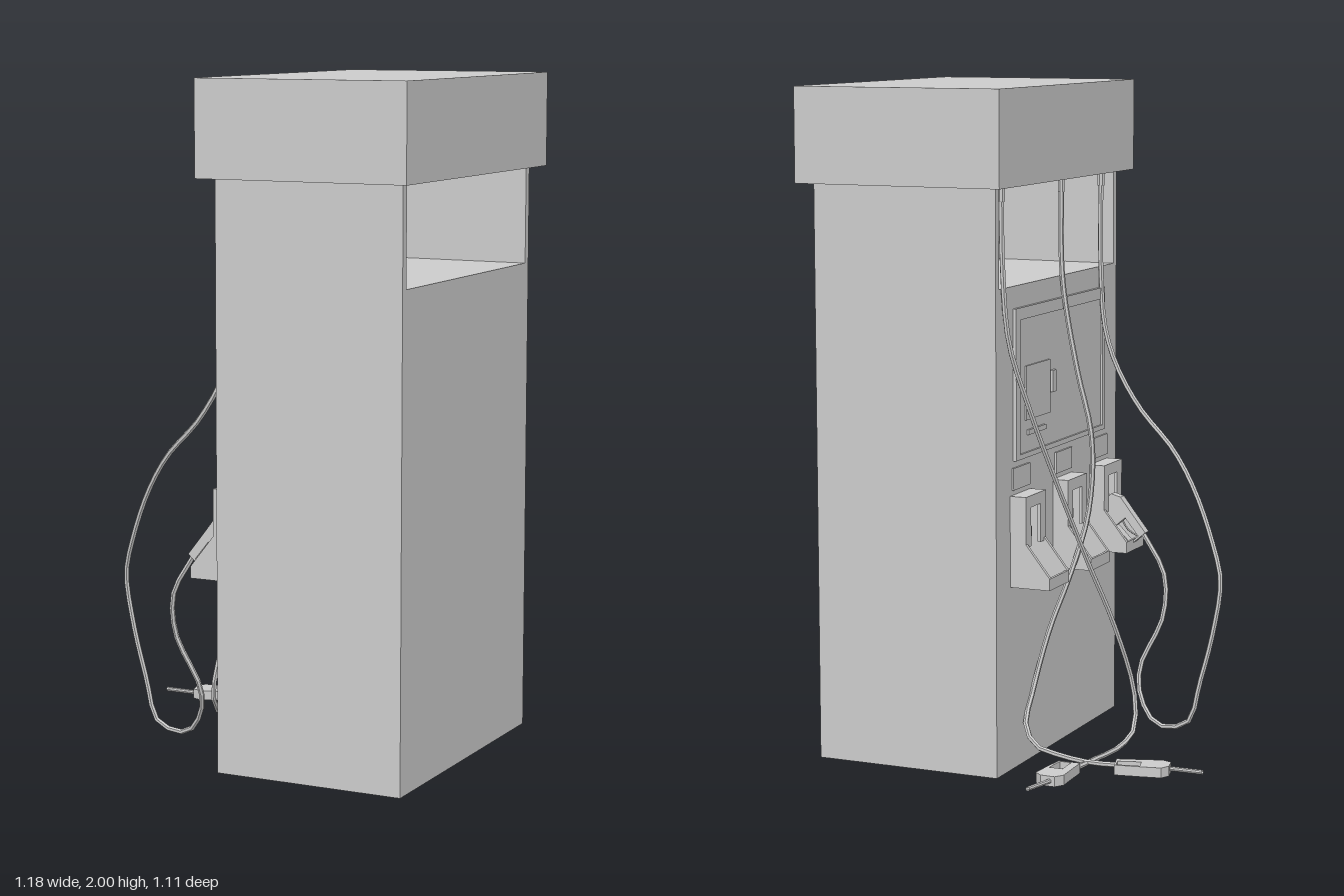
import * as THREE from 'three';

const mat = new THREE.MeshStandardMaterial({ color: 0xcccccc, flatShading: true, side: THREE.DoubleSide });
const V = (x, y, z) => new THREE.Vector3(x, y, z);

function add(parent, name, geo) {
  const m = new THREE.Mesh(geo, mat);
  m.name = name;
  parent.add(m);
  return m;
}

// Box given by its min and max along each axis
function box(parent, name, x0, x1, y0, y1, z0, z1) {
  const m = add(parent, name, new THREE.BoxGeometry(x1 - x0, y1 - y0, z1 - z0));
  m.position.set((x0 + x1) / 2, (y0 + y1) / 2, (z0 + z1) / 2);
  return m;
}

function polygon(points) {
  return new THREE.Shape(points.map(([x, y]) => new THREE.Vector2(x, y)));
}

function hose(parent, name, points) {
  const curve = new THREE.CatmullRomCurve3(points.map(p => V(...p)), false, 'centripetal');
  add(parent, name, new THREE.TubeGeometry(curve, points.length * 3, 0.008, 6));
  const [x, y, z] = points[0];
  const collar = add(parent, name + 'Collar', new THREE.CylinderGeometry(0.011, 0.011, 0.04, 8));
  collar.position.set(x, y - 0.02, z);
}

// Nozzle: local x runs from the hose to the spout, local y towards the trigger guard
function nozzle(parent, name, pos, u, v) {
  const g = new THREE.Group();
  g.name = name;
  const outline = polygon([[0, -0.012], [0.08, -0.015], [0.135, -0.018], [0.162, 0],
    [0.16, 0.045], [0.14, 0.068], [0.08, 0.064], [0, 0.056]]);
  outline.holes.push(polygon([[0.006, 0.014], [0.006, 0.049], [0.076, 0.054], [0.076, 0.012]]));
  const geo = new THREE.ExtrudeGeometry(outline, { depth: 0.03, bevelEnabled: false });
  geo.translate(0, 0, -0.015);
  add(g, 'nozzleBody', geo);
  // Bent trigger inside the guard
  const trigger = new THREE.CatmullRomCurve3([V(0.076, 0.03, 0), V(0.045, 0.034, 0), V(0.012, 0.022, 0)]);
  add(g, 'trigger', new THREE.TubeGeometry(trigger, 4, 0.003, 5));
  const spout = new THREE.LineCurve3(V(0.15, 0.014, 0), V(0.258, 0.042, 0));
  add(g, 'spout', new THREE.TubeGeometry(spout, 1, 0.007, 8));
  const U = V(...u).normalize(), W = V(...u).cross(V(...v)).normalize();
  g.quaternion.setFromRotationMatrix(new THREE.Matrix4().makeBasis(U, W.clone().cross(U), W));
  g.position.set(...pos);
  parent.add(g);
}

function holder(parent, z) {
  const g = new THREE.Group();
  g.name = 'nozzleHolder';
  g.position.z = z;
  const cheek = polygon([[-0.03, 0.55], [-0.155, 0.55], [-0.155, 0.585], [-0.08, 0.68],
    [-0.08, 0.82], [-0.03, 0.82]]);
  for (const s of [-1, 1]) {
    const geo = new THREE.ExtrudeGeometry(cheek, { depth: 0.012, bevelEnabled: false });
    geo.translate(0, 0, s * 0.066 - 0.006);
    add(g, 'holderCheek', geo);
    box(g, 'holderPost', -0.08, -0.07, 0.67, 0.82, s * 0.05 - 0.016, s * 0.05 + 0.016);
  }
  box(g, 'holderTop', -0.08, -0.03, 0.805, 0.82, -0.07, 0.07);
  box(g, 'holderHeader', -0.08, -0.07, 0.785, 0.81, -0.06, 0.06);
  box(g, 'holderFloor', -0.155, -0.03, 0.55, 0.562, -0.07, 0.07);
  box(g, 'holderLip', -0.155, -0.147, 0.55, 0.585, -0.07, 0.07);
  box(g, 'holderHook', -0.06, -0.03, 0.69, 0.72, -0.015, 0.015);
  // Label plate above the holder
  box(g, 'gradePlate', -0.036, -0.03, 0.835, 0.9, -0.06, 0.06);
  parent.add(g);
}

export function createModel() {
  const pump = new THREE.Group();
  pump.name = 'fuelPump';

  // Hollow cabinet, open underneath
  const t = 0.012;
  box(pump, 'cabinetFront', -0.03, 0.55, 0, 1.43, 0.5 - t, 0.5);
  box(pump, 'cabinetBack', -0.03, 0.55, 0, 1.43, -0.41, -0.41 + t);
  box(pump, 'cabinetHoseSide', -0.03, -0.03 + t, 0, 1.43, -0.41 + t, 0.5 - t);
  box(pump, 'cabinetPlainSide', 0.55 - t, 0.55, 0, 1.43, -0.41 + t, 0.5 - t);
  box(pump, 'cabinetShelf', -0.03 + t, 0.55 - t, 1.418, 1.43, -0.41 + t, 0.5 - t);

  // End walls of the opening and the canopy
  box(pump, 'frontUpright', -0.03, 0.55, 1.43, 1.72, 0.475, 0.5);
  box(pump, 'backUpright', -0.03, 0.55, 1.43, 1.72, -0.41, -0.385);
  box(pump, 'canopy', -0.065, 0.585, 1.72, 2, -0.46, 0.555);

  // Control panel: raised border, inset plate, screen, card slot and receipt slot
  const border = polygon([[-0.29, 0.92], [0.385, 0.92], [0.385, 1.365], [-0.29, 1.365]]);
  border.holes.push(polygon([[-0.26, 0.935], [-0.26, 1.33], [0.365, 1.33], [0.365, 0.935]]));
  const frame = add(pump, 'panelFrame', new THREE.ExtrudeGeometry(border, { depth: 0.01, bevelEnabled: false }));
  frame.rotation.y = -Math.PI / 2;
  frame.position.x = -0.03;
  box(pump, 'panelPlate', -0.034, -0.03, 0.93, 1.335, -0.265, 0.37);
  box(pump, 'screen', -0.039, -0.03, 1.03, 1.19, -0.215, -0.04);
  box(pump, 'cardReader', -0.044, -0.03, 1.09, 1.155, -0.03, -0.005);
  box(pump, 'receiptSlot', -0.041, -0.03, 0.985, 1.0, -0.2, -0.075);

  for (const z of [-0.24, 0.0725, 0.3575]) holder(pump, z);

  // Hoses hanging from the canopy
  hose(pump, 'backHose', [[-0.035, 1.72, -0.38], [-0.037, 1.5, -0.378], [-0.05, 1.28, -0.365],
    [-0.085, 1.08, -0.3], [-0.12, 0.88, -0.21], [-0.17, 0.6, -0.07], [-0.22, 0.38, 0.03],
    [-0.257, 0.16, 0.1], [-0.272, 0.06, 0.06], [-0.268, 0.03, -0.05], [-0.25, 0.028, -0.19], [-0.235, 0.028, -0.305]]);
  hose(pump, 'middleHose', [[-0.035, 1.72, 0.05], [-0.04, 1.42, 0.05], [-0.09, 1.15, 0.045],
    [-0.135, 0.98, 0.04], [-0.143, 0.86, 0.04], [-0.13, 0.7, 0.028], [-0.1, 0.54, -0.03],
    [-0.06, 0.38, -0.095], [-0.035, 0.2, -0.165], [-0.045, 0.12, -0.235], [-0.09, 0.07, -0.265],
    [-0.15, 0.05, -0.26], [-0.25, 0.03, -0.24], [-0.335, 0.028, -0.225]]);
  hose(pump, 'frontHose', [[-0.035, 1.72, 0.36], [-0.037, 1.42, 0.358], [-0.055, 1.24, 0.35],
    [-0.1, 1.12, 0.342], [-0.18, 1.0, 0.33], [-0.3, 0.88, 0.307], [-0.38, 0.76, 0.285],
    [-0.45, 0.6, 0.26], [-0.48, 0.5, 0.242], [-0.46, 0.34, 0.235], [-0.42, 0.18, 0.232],
    [-0.38, 0.05, 0.232], [-0.28, 0.03, 0.24], [-0.215, 0.1, 0.265], [-0.197, 0.19, 0.298],
    [-0.26, 0.35, 0.33], [-0.255, 0.48, 0.352], [-0.182, 0.603, 0.358]]);

  // Two nozzles dropped on the ground, one hung in its holder
  nozzle(pump, 'backNozzle', [-0.235, 0.028, -0.3], [0, 0, -1], [1, 0, 0]);
  nozzle(pump, 'middleNozzle', [-0.33, 0.028, -0.225], [-0.966, 0, 0.259], [-0.259, 0, -0.966]);
  nozzle(pump, 'frontNozzle', [-0.185, 0.6, 0.358], [0.65, 0.76, 0], [0.76, -0.65, 0]);

  return pump;
}
